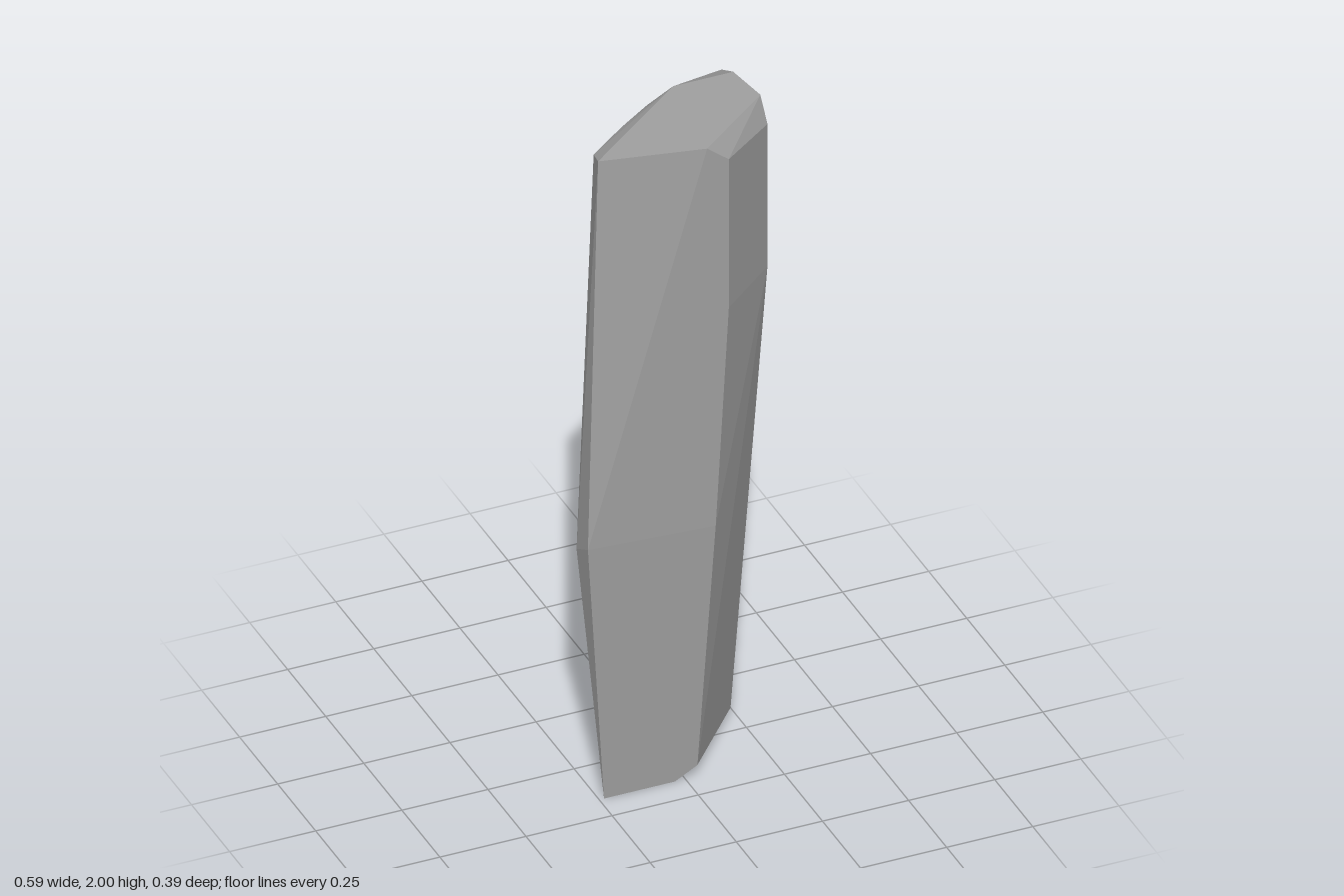
import * as THREE from 'three';
import { ConvexGeometry } from 'three/addons/geometries/ConvexGeometry.js';

// Faceted standing stone: horizontal rings of corners, wrapped in a convex hull
export function createModel() {
  const stone = new THREE.MeshStandardMaterial({ color: 0xa0a0a0, flatShading: true });
  stone.name = 'grey stone';

  const rings = [
    // flat top
    [[-0.24, 2, 0.135], [0.05, 2, 0.195], [0.265, 2, -0.12], [0.09, 2, -0.12]],
    // bevelled rim, front corner then right side and back
    [[0.113, 1.95, 0.195], [0.295, 1.92, 0.037], [0.295, 1.985, -0.01], [0.26, 1.97, -0.185],
      [0.15, 1.965, -0.172], [0.01, 1.967, -0.11], [-0.1, 1.97, -0.033], [-0.222, 1.975, 0.065]],
    // widest part of the right side and back
    [[0.113, 1.48, 0.195], [0.295, 1.47, 0.037], [0.295, 1.38, -0.03],
      [0.26, 1.2, -0.197], [0.19, 1.2, -0.196], [0.13, 1.3, -0.185], [0.01, 1.3, -0.115]],
    // widest part of the left side
    [[-0.296, 0.82, 0.195], [-0.296, 0.78, 0.12], [0.075, 0.8, 0.195]],
    // lower rim
    [[0.035, 0.035, 0.165], [0.235, 0.025, -0.07], [0.225, 0.035, -0.182]],
    // foot
    [[-0.236, 0, 0.165], [-0.03, 0, 0.165], [0.13, 0, -0.12], [0.13, 0.015, -0.165],
      [0.01, 0.008, -0.1], [-0.13, 0.005, 0.01]],
  ];
  const corners = rings.flat().map((p) => new THREE.Vector3(...p));

  const slab = new THREE.Mesh(new ConvexGeometry(corners), stone);
  slab.name = 'standingStone';
  const group = new THREE.Group();
  group.name = 'stone';
  group.add(slab);
  return group;
}
